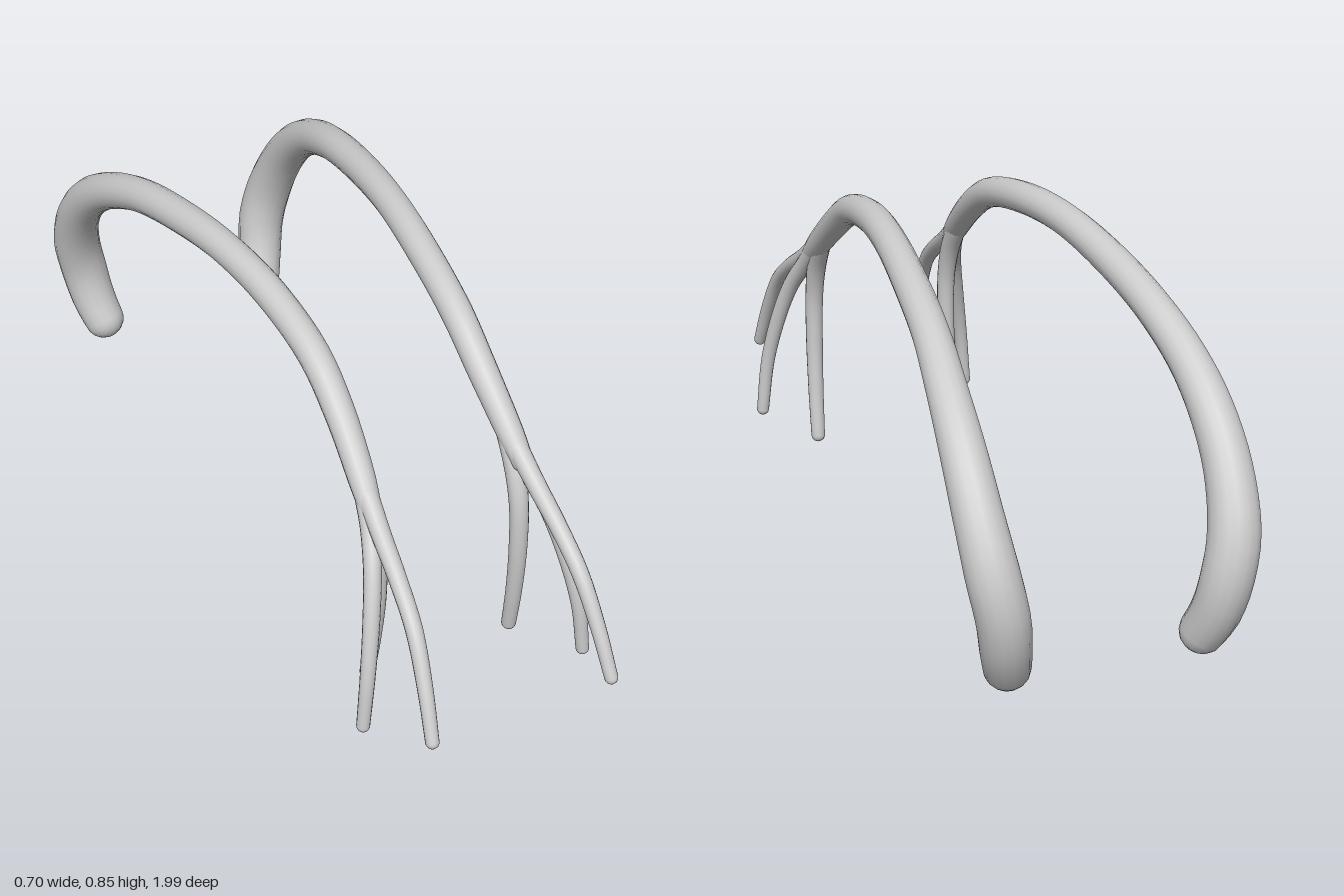
import * as THREE from 'three';

// Tapered, round-ended limb along points of [x, y, z, radius]; side mirrors x
function limb(points, side, segments, sides = 16) {
  const curve = new THREE.CatmullRomCurve3(
    points.map(([x, y, z]) => new THREE.Vector3(x * side, y, z)), false, 'centripetal');
  const frames = curve.computeFrenetFrames(segments, false);
  const n = points.length - 1;
  const radiusAt = (t) => {
    const f = t * n, i = Math.min(Math.floor(f), n - 1);
    return THREE.MathUtils.lerp(points[i][3], points[i + 1][3], f - i);
  };

  // Rings: hemispherical start cap, body, hemispherical end cap
  const rings = [];
  const capSteps = 5;
  const addRing = (i, offset, scale) => {
    const u = i / segments, t = curve.getUtoTmapping(u), r = radiusAt(t);
    const center = curve.getPointAt(u).addScaledVector(frames.tangents[i], offset * r);
    rings.push({ center, r: Math.max(r * scale, 1e-5), N: frames.normals[i], B: frames.binormals[i] });
  };
  for (let k = 0; k < capSteps; k++) {
    const a = (k / capSteps) * Math.PI / 2;
    addRing(0, -Math.cos(a), Math.sin(a));
  }
  for (let i = 0; i <= segments; i++) addRing(i, 0, 1);
  for (let k = 1; k <= capSteps; k++) {
    const a = (k / capSteps) * Math.PI / 2;
    addRing(segments, Math.sin(a), Math.cos(a));
  }

  const positions = [], index = [];
  for (const { center, r, N, B } of rings) {
    for (let j = 0; j < sides; j++) {
      const a = (j / sides) * Math.PI * 2;
      const p = center.clone().addScaledVector(N, Math.cos(a) * r).addScaledVector(B, Math.sin(a) * r);
      positions.push(p.x, p.y, p.z);
    }
  }
  for (let i = 0; i < rings.length - 1; i++) {
    for (let j = 0; j < sides; j++) {
      const k = (j + 1) % sides;
      const a = i * sides + j, b = i * sides + k, c = a + sides, d = b + sides;
      index.push(a, b, c, b, d, c);
    }
  }
  const geometry = new THREE.BufferGeometry();
  geometry.setAttribute('position', new THREE.Float32BufferAttribute(positions, 3));
  geometry.setIndex(index);
  geometry.computeVertexNormals();
  return geometry;
}

// Thick arch from the curled rear end to the fork
const ARCH = [
  [0.235, 0.10, -0.888, 0.054], [0.25, 0.16, -0.918, 0.058], [0.265, 0.25, -0.938, 0.061],
  [0.284, 0.35, -0.925, 0.061], [0.295, 0.47, -0.865, 0.056], [0.294, 0.575, -0.775, 0.052],
  [0.285, 0.66, -0.66, 0.047], [0.265, 0.735, -0.50, 0.043], [0.243, 0.785, -0.30, 0.041],
  [0.22, 0.81, -0.10, 0.039], [0.198, 0.80, 0.10, 0.039], [0.184, 0.75, 0.30, 0.038],
  [0.183, 0.67, 0.43, 0.036], [0.19, 0.575, 0.55, 0.032], [0.195, 0.525, 0.605, 0.026],
];

// Three slender prongs fanning out of the fork
const PRONGS = {
  frontProng: [
    [0.19, 0.57, 0.555, 0.026], [0.198, 0.50, 0.66, 0.023], [0.205, 0.44, 0.76, 0.021],
    [0.212, 0.37, 0.85, 0.02], [0.222, 0.26, 0.925, 0.018], [0.231, 0.15, 0.98, 0.016],
  ],
  outerProng: [
    [0.19, 0.57, 0.555, 0.026], [0.205, 0.50, 0.62, 0.023], [0.228, 0.42, 0.68, 0.021],
    [0.253, 0.31, 0.725, 0.02], [0.276, 0.18, 0.755, 0.018], [0.291, 0.038, 0.764, 0.016],
  ],
  rearProng: [
    [0.187, 0.58, 0.54, 0.026], [0.185, 0.50, 0.59, 0.025], [0.184, 0.41, 0.618, 0.023],
    [0.185, 0.28, 0.623, 0.022], [0.188, 0.14, 0.61, 0.02], [0.191, 0.019, 0.59, 0.018],
  ],
};

export function createModel() {
  const model = new THREE.Group();
  model.name = 'archedLimbs';
  const grey = new THREE.MeshStandardMaterial({ color: 0xcccccc });
  grey.name = 'light grey';

  for (const [sideName, side] of [['left', 1], ['right', -1]]) {
    const group = new THREE.Group();
    group.name = sideName + 'Limb';
    const add = (name, points, segments) => {
      const mesh = new THREE.Mesh(limb(points, side, segments), grey);
      mesh.name = name;
      group.add(mesh);
    };
    add('arch', ARCH, 60);
    for (const [name, points] of Object.entries(PRONGS)) add(name, points, 24);
    model.add(group);
  }
  return model;
}
